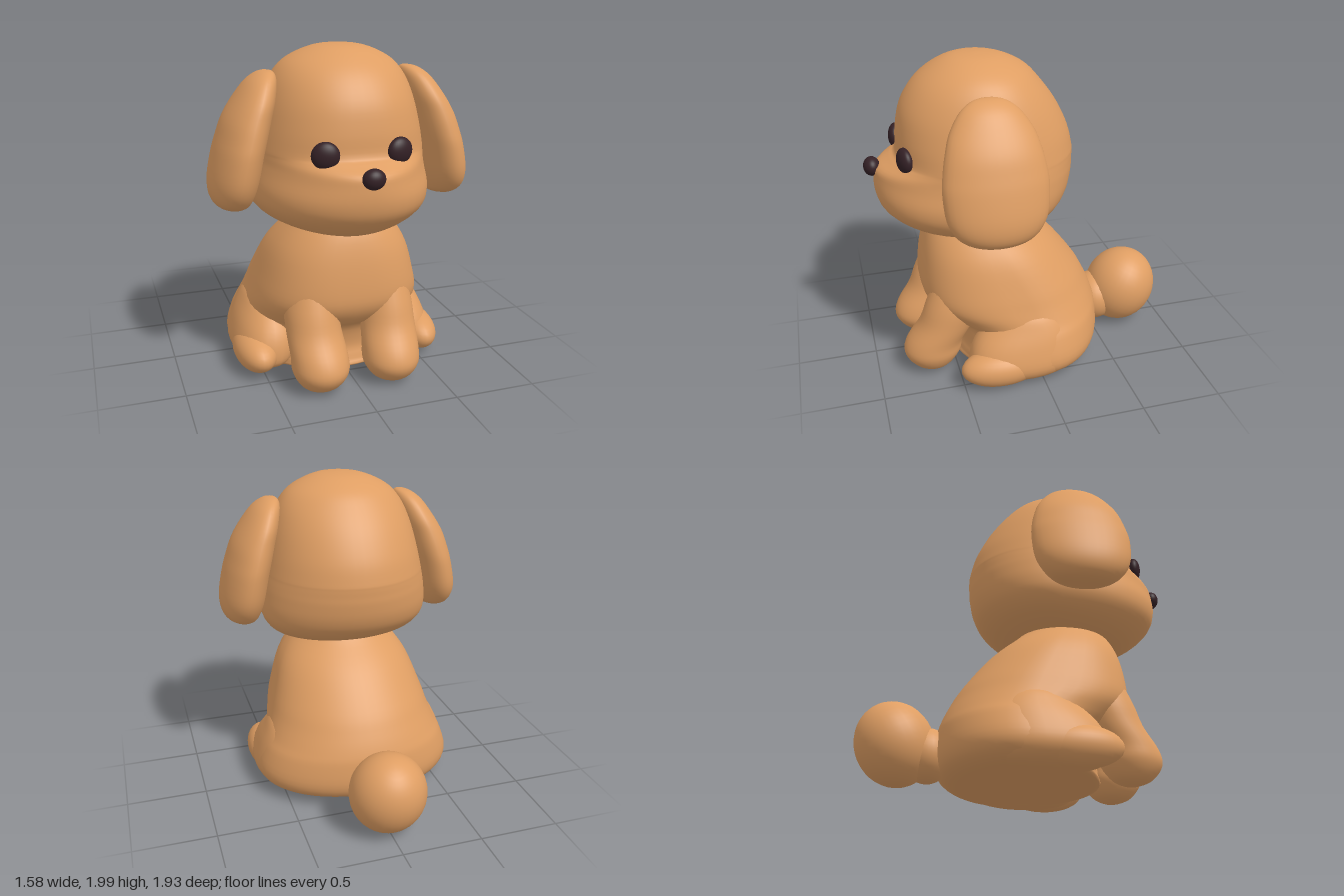
import * as THREE from 'three';
import { mergeVertices } from 'three/addons/utils/BufferGeometryUtils.js';

const fur = new THREE.MeshStandardMaterial({ color: 0xdf9e63 });
fur.name = 'tan fur';
const dark = new THREE.MeshStandardMaterial({ color: 0x342126 });
dark.name = 'dark brown';

// Smooth closed form through horizontal sections, listed from top to bottom:
// [y, xMin, xMax, zBack, zWidest, zFront, p], where p is how square the front half is (2 = round).
function loft(rows, steps = 4, sides = 48) {
  const positions = [];
  const index = [];
  const last = rows.length - 1;
  const count = last * steps;
  const at = (i, k) => rows[Math.max(0, Math.min(last, i))][k] ?? 2;
  const spline = (t, k) => {
    const i = Math.min(Math.floor(t), last - 1);
    const u = t - i;
    const [a, b, c, d] = [at(i - 1, k), at(i, k), at(i + 1, k), at(i + 2, k)];
    return b + 0.5 * u * (c - a + u * (2 * a - 5 * b + 4 * c - d + u * (3 * (b - c) + d - a)));
  };
  for (let r = 0; r <= count; r++) {
    const [y, x0, x1, zb, zm, zf, p] = [0, 1, 2, 3, 4, 5, 6].map((k) => spline(r / steps, k));
    for (let j = 0; j < sides; j++) {
      const a = (j / sides) * Math.PI * 2;
      const e = Math.sin(a) > 0 ? 2 / p : 1;
      const c = Math.sign(Math.cos(a)) * Math.abs(Math.cos(a)) ** e;
      const s = Math.sign(Math.sin(a)) * Math.abs(Math.sin(a)) ** e;
      positions.push((x0 + x1) / 2 + (c * (x1 - x0)) / 2, y, zm + s * (s > 0 ? zf - zm : zm - zb));
      if (r === count) continue;
      const n = (j + 1) % sides;
      const [A, B, C, D] = [r * sides + j, r * sides + n, (r + 1) * sides + j, (r + 1) * sides + n];
      index.push(A, B, C, B, D, C);
    }
  }
  let g = new THREE.BufferGeometry();
  g.setAttribute('position', new THREE.Float32BufferAttribute(positions, 3));
  g.setIndex(index);
  g = mergeVertices(g, 1e-4);
  g.computeVertexNormals();
  return g;
}

// Sections given as [y, halfWidth, zBack, zWidest, zFront, p], centred on x = 0
const centred = (rows) => rows.map(([y, r, ...z]) => [y, -r, r, ...z]);
// Swap a section list to the other side
const onSide = (rows, s) => (s > 0 ? rows : rows.map(([y, a, b, ...z]) => [y, -b, -a, ...z]));

const headRows = centred([
  [2.0, 0, 0.28, 0.28, 0.28],
  [1.985, 0.15, 0.13, 0.28, 0.43],
  [1.92, 0.3, -0.015, 0.27, 0.56],
  [1.83, 0.385, -0.105, 0.25, 0.66, 2.1],
  [1.7, 0.44, -0.2, 0.23, 0.735, 2.2],
  [1.55, 0.478, -0.275, 0.21, 0.765, 2.3],
  [1.43, 0.503, -0.305, 0.2, 0.775, 2.3],
  [1.395, 0.51, -0.308, 0.2, 0.82, 2.1],
  [1.35, 0.52, -0.306, 0.2, 0.9, 1.85],
  [1.29, 0.53, -0.302, 0.2, 0.915, 1.85],
  [1.19, 0.54, -0.28, 0.2, 0.912, 2],
  [1.1, 0.525, -0.23, 0.2, 0.88, 2.05],
  [1.02, 0.46, -0.13, 0.22, 0.8],
  [0.96, 0.33, 0.03, 0.27, 0.7],
  [0.935, 0.18, 0.2, 0.34, 0.6],
  [0.93, 0, 0.4, 0.4, 0.4],
]);

const bodyRows = centred([
  [1.05, 0, 0.3, 0.3, 0.3],
  [1.02, 0.24, 0.06, 0.3, 0.52],
  [0.95, 0.32, -0.02, 0.28, 0.6, 2.2],
  [0.8, 0.425, -0.19, 0.2, 0.65, 2.5],
  [0.6, 0.495, -0.35, 0.1, 0.675, 2.7],
  [0.48, 0.53, -0.42, 0.05, 0.665, 2.6],
  [0.38, 0.565, -0.465, 0.0, 0.6, 2.1],
  [0.3, 0.605, -0.485, -0.02, 0.5, 1.9],
  [0.16, 0.645, -0.49, -0.02, 0.46],
  [0.07, 0.6, -0.44, -0.01, 0.48],
  [0.025, 0.45, -0.3, 0.02, 0.46],
  [0.015, 0, 0.05, 0.05, 0.05],
]);

const earRows = [
  [1.86, 0.43, 0.43, 0.3, 0.3, 0.3],
  [1.85, 0.395, 0.485, 0.215, 0.3, 0.385],
  [1.8, 0.382, 0.555, 0.135, 0.3, 0.465],
  [1.7, 0.395, 0.63, 0.065, 0.3, 0.535],
  [1.6, 0.42, 0.69, 0.03, 0.3, 0.57],
  [1.5, 0.445, 0.727, 0.008, 0.3, 0.592],
  [1.4, 0.47, 0.757, 0, 0.3, 0.603],
  [1.25, 0.5, 0.787, 0.015, 0.3, 0.59],
  [1.15, 0.53, 0.78, 0.065, 0.3, 0.54],
  [1.09, 0.565, 0.735, 0.145, 0.3, 0.45],
  [1.065, 0.645, 0.645, 0.3, 0.3, 0.3],
];

const foreLegRows = [
  [0.74, 0.23, 0.23, 0.45, 0.45, 0.45],
  [0.68, 0.12, 0.33, 0.35, 0.45, 0.58],
  [0.5, 0.075, 0.395, 0.34, 0.48, 0.67],
  [0.35, 0.07, 0.4, 0.38, 0.55, 0.725],
  [0.22, 0.055, 0.395, 0.45, 0.63, 0.81],
  [0.13, 0.055, 0.39, 0.47, 0.65, 0.83],
  [0.05, 0.105, 0.345, 0.53, 0.65, 0.775],
  [0.015, 0.17, 0.28, 0.6, 0.65, 0.7],
  [0.01, 0.225, 0.225, 0.65, 0.65, 0.65],
];

const haunchRows = [
  [0.5, 0.44, 0.44, 0.04, 0.04, 0.04],
  [0.46, 0.34, 0.53, -0.1, 0.04, 0.19],
  [0.37, 0.27, 0.585, -0.2, 0.03, 0.33],
  [0.26, 0.24, 0.63, -0.24, 0.05, 0.42, 2.3],
  [0.14, 0.25, 0.655, -0.25, 0.07, 0.45, 2.4],
  [0.06, 0.29, 0.615, -0.2, 0.08, 0.42, 2.2],
  [0.02, 0.37, 0.53, -0.05, 0.08, 0.28],
  [0.015, 0.45, 0.45, 0.08, 0.08, 0.08],
];

export function createModel() {
  const model = new THREE.Group();
  model.name = 'sittingPuppy';

  const add = (name, geometry, material) => {
    const mesh = new THREE.Mesh(geometry, material);
    mesh.name = name;
    model.add(mesh);
    return mesh;
  };
  const blob = (name, material, [x, y, z], [rx, ry, rz]) => {
    const mesh = add(name, new THREE.SphereGeometry(1, 32, 20), material);
    mesh.position.set(x, y, z);
    mesh.scale.set(rx, ry, rz);
    return mesh;
  };

  add('head', loft(headRows), fur);
  add('body', loft(bodyRows), fur);

  // Paired parts
  for (const s of [1, -1]) {
    const side = s > 0 ? 'left' : 'right';
    add(side + 'Ear', loft(onSide(earRows, s), 4, 32), fur);
    add(side + 'ForeLeg', loft(onSide(foreLegRows, s), 4, 32), fur);
    add(side + 'Haunch', loft(onSide(haunchRows, s), 4, 32), fur);
    blob(side + 'HindFoot', fur, [s * 0.53, 0.135, 0.26], [0.133, 0.122, 0.26]);
    const eye = blob(side + 'Eye', dark, [s * 0.215 - 0.01, 1.447, 0.744], [0.079, 0.077, 0.045]);
    eye.rotation.y = s * 0.25;
  }

  blob('nose', dark, [-0.013, 1.345, 0.92], [0.065, 0.058, 0.05]);

  // Round tail, leaning back, and the short root that joins it to the body
  const tail = blob('tail', fur, [0, 0.263, -0.725], [0.236, 0.26, 0.235]);
  tail.rotation.x = -0.45;
  blob('tailRoot', fur, [0, 0.2, -0.53], [0.17, 0.165, 0.15]);

  return model;
}
